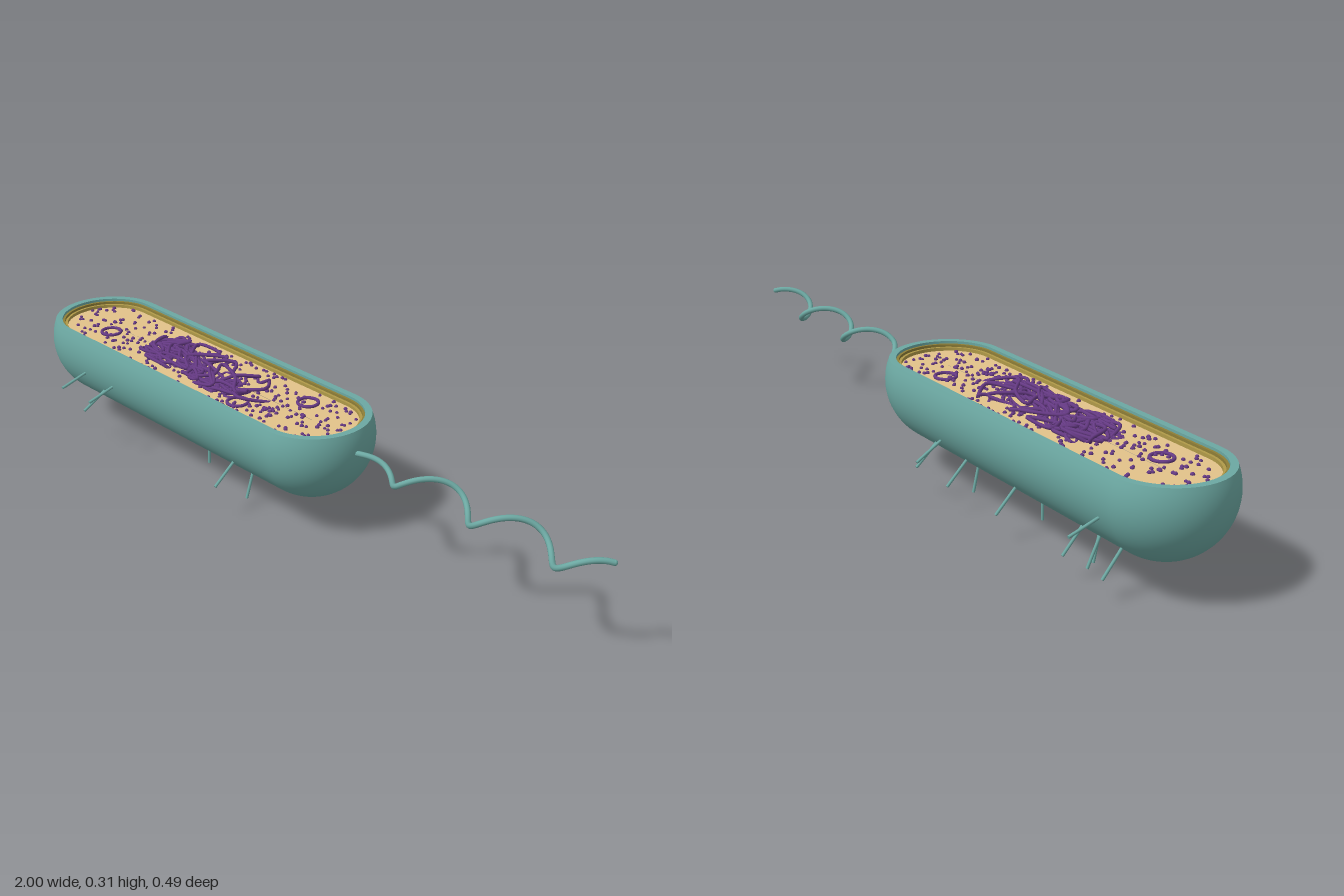
import * as THREE from 'three';
import { mergeGeometries } from 'three/addons/utils/BufferGeometryUtils.js';

const CX = -0.394, HALF = 0.438, AXIS_Y = 0.253, R = 0.168;
const RIM_Y = 0.313, FLOOR_Y = 0.29;

const material = (name, color) => {
  const m = new THREE.MeshStandardMaterial({ color });
  m.name = name;
  return m;
};

// Seeded random numbers
function seeded(seed) {
  return () => {
    seed = (seed * 1664525 + 1013904223) % 4294967296;
    return seed / 4294967296;
  };
}

// Skin through stacked pill-shaped rings; profile is a list of [radius, y]
function pillLoft(profile, around = 64) {
  const pos = [], index = [], n = around + 2;
  for (const [r, y] of profile) {
    for (let j = 0; j < n; j++) {
      const right = j <= around / 2;
      const t = -Math.PI / 2 + (2 * Math.PI * (right ? j : j - 1)) / around;
      pos.push(CX + (right ? HALF : -HALF) + r * Math.cos(t), y, r * Math.sin(t));
    }
  }
  for (let i = 0; i < profile.length - 1; i++) {
    for (let j = 0; j < n; j++) {
      const k = (j + 1) % n;
      const a = i * n + j, b = a + n, c = i * n + k, d = c + n;
      index.push(a, b, c, c, b, d);
    }
  }
  const g = new THREE.BufferGeometry();
  g.setAttribute('position', new THREE.Float32BufferAttribute(pos, 3));
  g.setIndex(index);
  g.computeVertexNormals();
  return g;
}

// Flat rim plus the inner wall that drops from it
const rimAndWall = (outer, inner, y, bottom) => mergeGeometries([
  pillLoft([[outer, y], [inner, y]]),
  pillLoft([[inner, y], [inner, bottom]]),
]);

export function createModel() {
  const group = new THREE.Group();
  const teal = material('teal envelope', 0x6ca8a2);
  const olive = material('olive wall', 0x8e7e36);
  const gold = material('gold membrane', 0xb09a48);
  const tan = material('tan cytoplasm', 0xe2c28a);
  const purple = material('purple genetic material', 0x663a85);
  const add = (name, geometry, mat) => {
    const mesh = new THREE.Mesh(geometry, mat);
    mesh.name = name;
    group.add(mesh);
  };
  const rand = seeded(17);
  const spread = (size) => (rand() * 2 - 1) * size;

  // Cut-open outer body
  const cut = Math.asin((RIM_Y - AXIS_Y) / R);
  const outer = [];
  for (let i = 0; i <= 28; i++) {
    const a = -Math.PI / 2 + ((cut + Math.PI / 2) * i) / 28;
    outer.push([Math.max(R * Math.cos(a), 0.0005), AXIS_Y + R * Math.sin(a)]);
  }
  add('outerEnvelope', pillLoft(outer), teal);

  // Stepped layers down to the cytoplasm
  add('envelopeRim', rimAndWall(R * Math.cos(cut), 0.138, RIM_Y, 0.303), teal);
  add('cellWall', rimAndWall(0.139, 0.131, 0.306, 0.295), olive);
  add('membrane', rimAndWall(0.132, 0.124, 0.299, 0.288), gold);
  add('cytoplasm', pillLoft([[0.13, FLOOR_Y], [0.0005, FLOOR_Y]]), tan);

  // Flagellum: a helix that widens away from the body
  const wave = [];
  for (let i = 0; i <= 80; i++) {
    const x = 0.195 + (0.8 * i) / 80;
    const grow = Math.min(1, (x - 0.195) / 0.2);
    const turn = (2 * Math.PI) / 0.255;
    wave.push(new THREE.Vector3(
      x,
      AXIS_Y + 0.029 * grow * Math.cos(turn * (x - 0.46)),
      -0.045 * grow * Math.cos(turn * (x - 0.525))));
  }
  add('flagellum', new THREE.TubeGeometry(new THREE.CatmullRomCurve3(wave), 200, 0.0075, 10), teal);
  const tip = new THREE.SphereGeometry(0.0075, 10, 8);
  tip.translate(...wave[80].toArray());
  add('flagellumTip', tip, teal);

  // Pili: position along the body and tip (x, y, z)
  const tips = [
    [-0.74, 0.188, 0.244], [-0.61, 0.188, 0.244], [-0.67, 0.133, 0.222], [-0.12, 0.098, 0.197],
    [-0.13, 0.015, 0.079], [-0.38, 0, 0.003], [-0.655, 0.008, -0.053], [-0.155, 0.008, -0.053],
    [-0.7, 0.025, -0.107], [-0.82, 0.06, -0.16], [-0.685, 0.067, -0.168], [-0.43, 0.075, -0.175],
    [-0.22, 0.075, -0.177], [-0.09, 0.085, -0.186], [-0.14, 0.122, -0.216], [-0.8, 0.177, -0.242],
  ];
  const pili = tips.map(([x, y, z]) => {
    const out = new THREE.Vector3(0, y - AXIS_Y, z);
    const length = out.length() - 0.155;
    out.normalize();
    const g = new THREE.CylinderGeometry(0.004, 0.004, length, 8);
    g.applyQuaternion(new THREE.Quaternion().setFromUnitVectors(new THREE.Vector3(0, 1, 0), out));
    const mid = 0.155 + length / 2;
    return g.translate(x, AXIS_Y + out.y * mid, out.z * mid);
  });
  add('pili', mergeGeometries(pili), teal);

  // Tangled nucleoid strands wandering inside an oval
  const strands = [-0.2, -0.1, 0, 0.1, 0.2].map((start) => {
    const points = [];
    let x = start, z = 0;
    while (points.length < 34) {
      const nx = x + spread(0.1), nz = z + spread(0.075);
      if ((nx / 0.275) ** 4 + (nz / 0.085) ** 4 > 1) continue;
      x = nx;
      z = nz;
      points.push(new THREE.Vector3(-0.37 + x, 0.297 + spread(0.011), z));
    }
    return new THREE.TubeGeometry(new THREE.CatmullRomCurve3(points), 240, 0.005, 6);
  });
  add('nucleoid', mergeGeometries(strands), purple);

  // Plasmid rings
  const rings = [[-0.775, 0.037], [-0.035, -0.06], [-0.165, 0.075]].map(([x, z]) =>
    new THREE.TorusGeometry(0.028, 0.0045, 8, 28).rotateX(Math.PI / 2).translate(x, 0.293, z));
  add('plasmids', mergeGeometries(rings), purple);

  // Ribosomes scattered over the cytoplasm
  const dots = [];
  while (dots.length < 320) {
    const x = spread(HALF + 0.116), z = spread(0.116);
    if (Math.hypot(Math.max(0, Math.abs(x) - HALF), z) > 0.116) continue;
    const size = 0.0045 + 0.0015 * rand();
    dots.push(new THREE.SphereGeometry(size, 8, 6).translate(CX + x, FLOOR_Y + 0.001, z));
  }
  add('ribosomes', mergeGeometries(dots), purple);

  return group;
}
